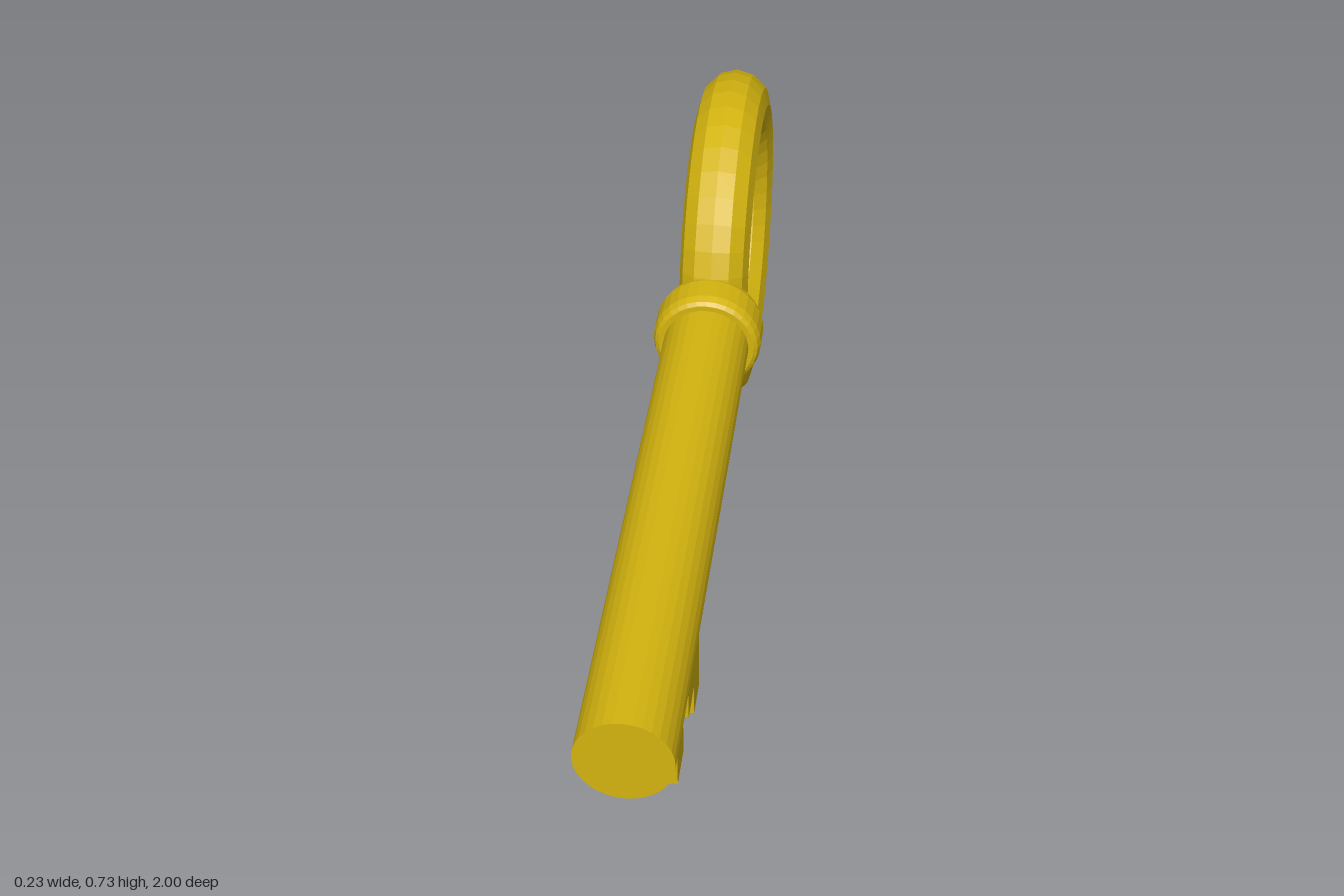
import * as THREE from 'three';

const CX = -0.002, CY = 0.37; // key axis

export function createModel() {
  const key = new THREE.Group();
  key.name = 'key';
  const gold = new THREE.MeshStandardMaterial({ color: 0xd4b40f, flatShading: true });

  const add = (name, geometry, x, y, z) => {
    const mesh = new THREE.Mesh(geometry, gold);
    mesh.name = name;
    mesh.position.set(x, y, z);
    key.add(mesh);
  };

  // Round shaft along z
  const front = 1, back = -0.25;
  const shaft = new THREE.CylinderGeometry(0.089, 0.089, front - back, 32).rotateX(Math.PI / 2);
  add('shaft', shaft, CX, CY, (front + back) / 2);

  // Rounded hollow collar: closed profile of radius and length
  const profile = [
    [0.075, -0.05], [0.1, -0.05], [0.108, -0.044], [0.113, -0.028],
    [0.113, 0.028], [0.108, 0.044], [0.1, 0.05], [0.084, 0.05],
    [0.072, 0.035], [0.068, 0.02], [0.068, -0.035], [0.075, -0.05],
  ].map(([r, z]) => new THREE.Vector2(r, z));
  add('collar', new THREE.LatheGeometry(profile, 32).rotateX(Math.PI / 2), CX, CY, -0.253);

  // Ring handle
  add('ringHandle', new THREE.TorusGeometry(0.294, 0.073, 12, 40).rotateY(Math.PI / 2), CX, CY, -0.631);

  // Toothed bit: stepped outline in z and y, extruded across x
  const outline = [
    [0.93, 0.36], [0.43, 0.36], [0.43, 0.007], [0.51, 0.007], [0.51, 0.08], [0.595, 0.08],
    [0.595, 0.155], [0.678, 0.155], [0.678, 0.073], [0.761, 0.073], [0.761, 0.203],
    [0.845, 0.203], [0.845, 0.253], [0.93, 0.253],
  ].map(([z, y]) => new THREE.Vector2(z, y));
  const bit = new THREE.ExtrudeGeometry(new THREE.Shape(outline), { depth: 0.122, bevelEnabled: false });
  add('toothedBit', bit.rotateY(-Math.PI / 2), 0.059, 0, 0);

  return key;
}
